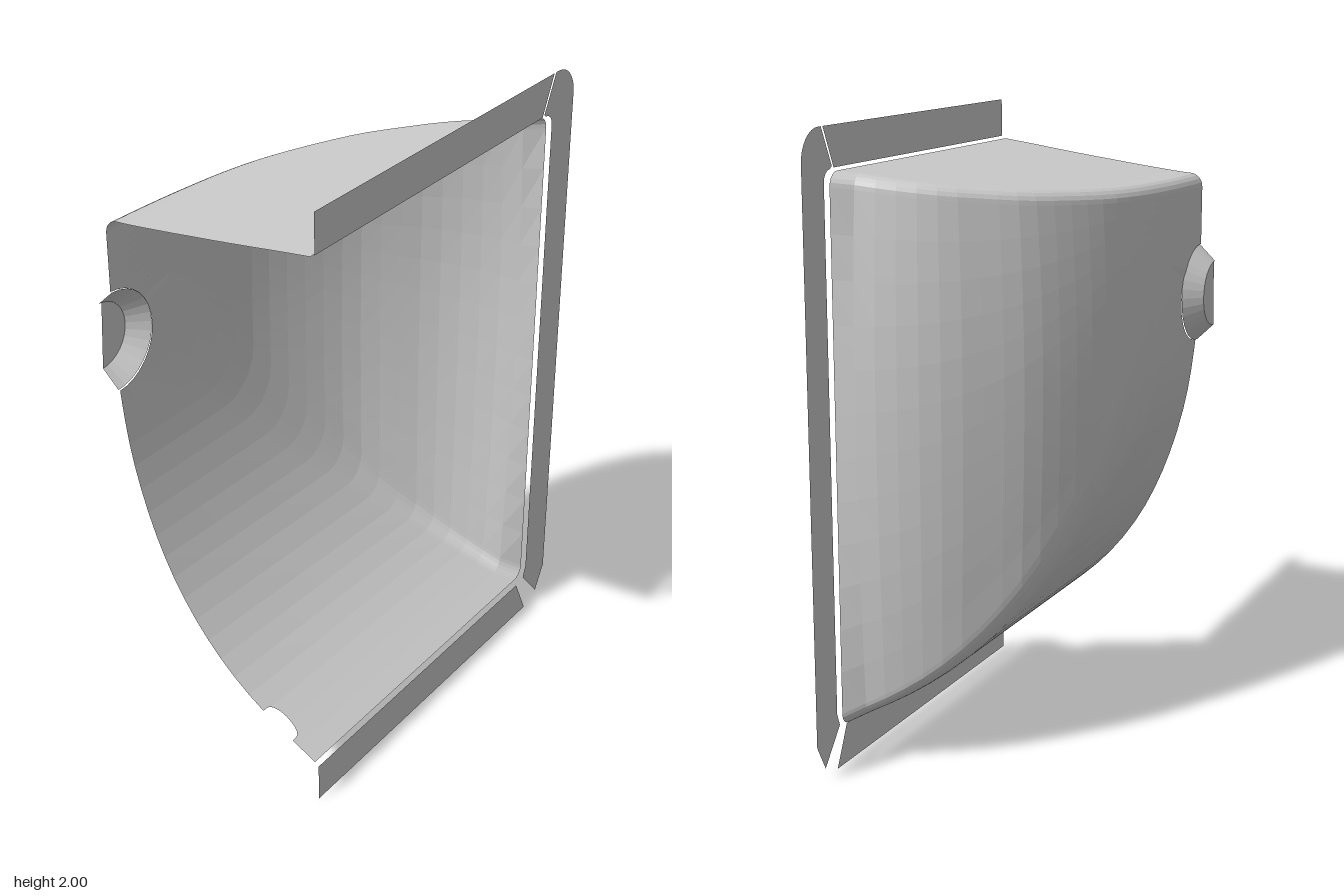
import * as THREE from 'three';

const CUT = -0.67; // plane where the half shell ends
const FRONT = 0.38;
const { lerp } = THREE.MathUtils;
const material = new THREE.MeshStandardMaterial({ color: 0xcccccc, flatShading: true, side: THREE.DoubleSide });

function addMesh(group, name, geometry) {
  const mesh = new THREE.Mesh(geometry, material);
  mesh.name = name;
  group.add(mesh);
  return mesh;
}

const spline = (pts) => new THREE.SplineCurve(pts.map(([x, y]) => new THREE.Vector2(x, y)));

// Side wall seen from above (x, z)
const wall = spline([[0.537, 0.38], [0.523, 0.26], [0.5, 0.18], [0.468, 0.108], [0.424, 0.04], [0.364, -0.027],
  [0.228, -0.15], [0, -0.264], [-0.2, -0.317], [-0.45, -0.34], [CUT, -0.344]]);

// Floor seen from the side (z, y)
const floorPoints = spline([[0.38, 0.141], [0.2, 0.235], [0.06, 0.335], [-0.06, 0.46], [-0.16, 0.61],
  [-0.24, 0.79], [-0.3, 1.0], [-0.332, 1.22], [-0.344, 1.42]]).getPoints(160);

function floorY(z) {
  for (let i = 1; i < floorPoints.length; i++) {
    const a = floorPoints[i - 1], b = floorPoints[i];
    if (z >= b.x) return lerp(a.y, b.y, Math.min(1, Math.max(0, (a.x - z) / (a.x - b.x))));
  }
  return floorPoints[floorPoints.length - 1].y;
}
const roofY = (z) => 1.867 + (z - FRONT) * 0.13;

// One section of the shell: roof, rounded top edge, bowed wall, bottom corner, floor
function section(t) {
  const p = wall.getPointAt(t), d = wall.getTangentAt(t);
  const n = t === 0 ? [-1, 0] : t === 1 ? [0, 1] : [d.y, -d.x];
  const R = 0.045, row = [];
  const inset = (s) => [Math.max(CUT, p.x + n[0] * s), Math.min(FRONT, p.y + n[1] * s)];
  const bow = (y) => 0.045 * Math.sin(Math.PI * Math.sqrt(t)) * ((y - 1.2) / (y > 1.2 ? 0.6 : 0.85)) ** 2;
  const top = roofY(inset(R)[1]), topBow = bow(top - R);
  row.push(new THREE.Vector3(CUT, top, inset(R + topBow)[1]));
  for (let k = 0; k <= 5; k++) {
    const a = (k / 5) * Math.PI / 2;
    const [x, z] = inset(topBow + R * (1 - Math.sin(a)));
    row.push(new THREE.Vector3(x, top - R + R * Math.cos(a), z));
  }
  // The bottom corner is tight at the opening and softens towards the back
  const radius = 0.04 + 0.3 * t * t;
  const [qx, qz] = inset(bow(floorY(p.y) + radius));
  const bottom = floorY(qz), r = Math.min(radius, qx - CUT);
  for (let k = 1; k < 12; k++) {
    const y = lerp(top - R, bottom + r, k / 12);
    const [x, z] = inset(bow(y));
    row.push(new THREE.Vector3(x, y, z));
  }
  for (let k = 0; k <= 5; k++) {
    const a = (k / 5) * Math.PI / 2;
    row.push(new THREE.Vector3(qx - r + r * Math.cos(a), bottom + r - r * Math.sin(a), qz));
  }
  for (let k = 1; k <= 6; k++) {
    const z = lerp(qz, p.y, k / 6);
    row.push(new THREE.Vector3(lerp(qx - r, CUT, k / 6), floorY(z), z));
  }
  return row;
}

// Removes the part of each polygon inside a convex counterclockwise outline in x, y
function cutOut(polys, outline) {
  const result = [];
  for (let poly of polys) {
    for (let e = 0; e < outline.length && poly.length; e++) {
      const [ax, ay] = outline[e], [bx, by] = outline[(e + 1) % outline.length];
      const side = (v) => (bx - ax) * (v.y - ay) - (by - ay) * (v.x - ax);
      const inside = [], outside = [];
      poly.forEach((v, i) => {
        const w = poly[(i + 1) % poly.length], sv = side(v), sw = side(w);
        (sv >= 0 ? inside : outside).push(v);
        if ((sv >= 0) !== (sw >= 0)) {
          const m = v.clone().lerp(w, sv / (sv - sw));
          inside.push(m);
          outside.push(m);
        }
      });
      if (outside.length > 2) result.push(outside);
      poly = inside.length > 2 ? inside : [];
    }
  }
  return result;
}

function arcPoints(cx, cy, r, from, to, count) {
  return Array.from({ length: count + 1 }, (_, i) => {
    const a = from + (to - from) * i / count;
    return [cx + r * Math.cos(a), cy + r * Math.sin(a)];
  });
}

function shellGeometry() {
  const rows = Array.from({ length: 25 }, (_, i) => section(i / 24));
  let polys = [];
  for (let i = 0; i < rows.length - 1; i++) {
    for (let j = 0; j < rows[i].length - 1; j++) {
      const a = rows[i][j], b = rows[i + 1][j], c = rows[i + 1][j + 1], d = rows[i][j + 1];
      polys.push([a, b, c], [a, c, d]);
    }
  }
  const h = Math.PI / 2;
  // Socket opening in the back and drain notch in the floor
  polys = cutOut(polys, [[-0.8, 1.217], ...arcPoints(CUT, 1.38, 0.163, -h, h, 16), [-0.8, 1.543]]);
  polys = cutOut(polys, [[-0.8, 0.184], ...arcPoints(-0.652, 0.215, 0.031, -h, h, 10), [-0.8, 0.246]]);
  const points = [], ab = new THREE.Vector3(), ac = new THREE.Vector3();
  for (const p of polys) {
    for (let k = 1; k < p.length - 1; k++) {
      ab.subVectors(p[k], p[0]);
      ac.subVectors(p[k + 1], p[0]);
      if (ab.cross(ac).length() > 1e-9) points.push(p[0], p[k], p[k + 1]);
    }
  }
  const geometry = new THREE.BufferGeometry().setFromPoints(points);
  geometry.computeVertexNormals();
  return geometry;
}

const flat = (pts) => new THREE.ShapeGeometry(new THREE.Shape(pts.map(([x, y]) => new THREE.Vector2(x, y))));

export function createModel() {
  const group = new THREE.Group();
  group.name = 'halfBowl';

  addMesh(group, 'bowlShell', shellGeometry());

  // Tapered socket collar behind the bowl, with its end plate
  const collar = addMesh(group, 'socketCollar',
    new THREE.CylinderGeometry(0.163, 0.108, 0.057, 16, 1, true, 0, Math.PI));
  collar.rotation.x = Math.PI / 2;
  collar.position.set(CUT, 1.38, -0.3665);
  const plate = addMesh(group, 'socketEndPlate', flat(arcPoints(0, 0, 0.108, -Math.PI / 2, 1.45, 16)));
  plate.position.set(CUT, 1.38, -0.395);

  // Flat flange strips around the opening
  const strips = {
    topFlange: [[CUT, 1.875], [0.487, 1.875], [0.545, 2], [CUT, 2]],
    bottomFlange: [[CUT, 0], [0.55, 0], [0.487, 0.13], [CUT, 0.13]],
    sideFlange: [[0.53, 0.14], [0.623, 0.03], [0.67, 0.115],
      ...arcPoints(0.57, 1.9, 0.1, 0, Math.PI / 2, 8), [0.555, 2], [0.497, 1.88],
      ...arcPoints(0.507, 1.835, 0.038, Math.PI / 2, 0, 4), [0.545, 0.18]],
  };
  for (const [name, pts] of Object.entries(strips)) {
    addMesh(group, name, flat(pts)).position.z = 0.394;
  }
  return group;
}
